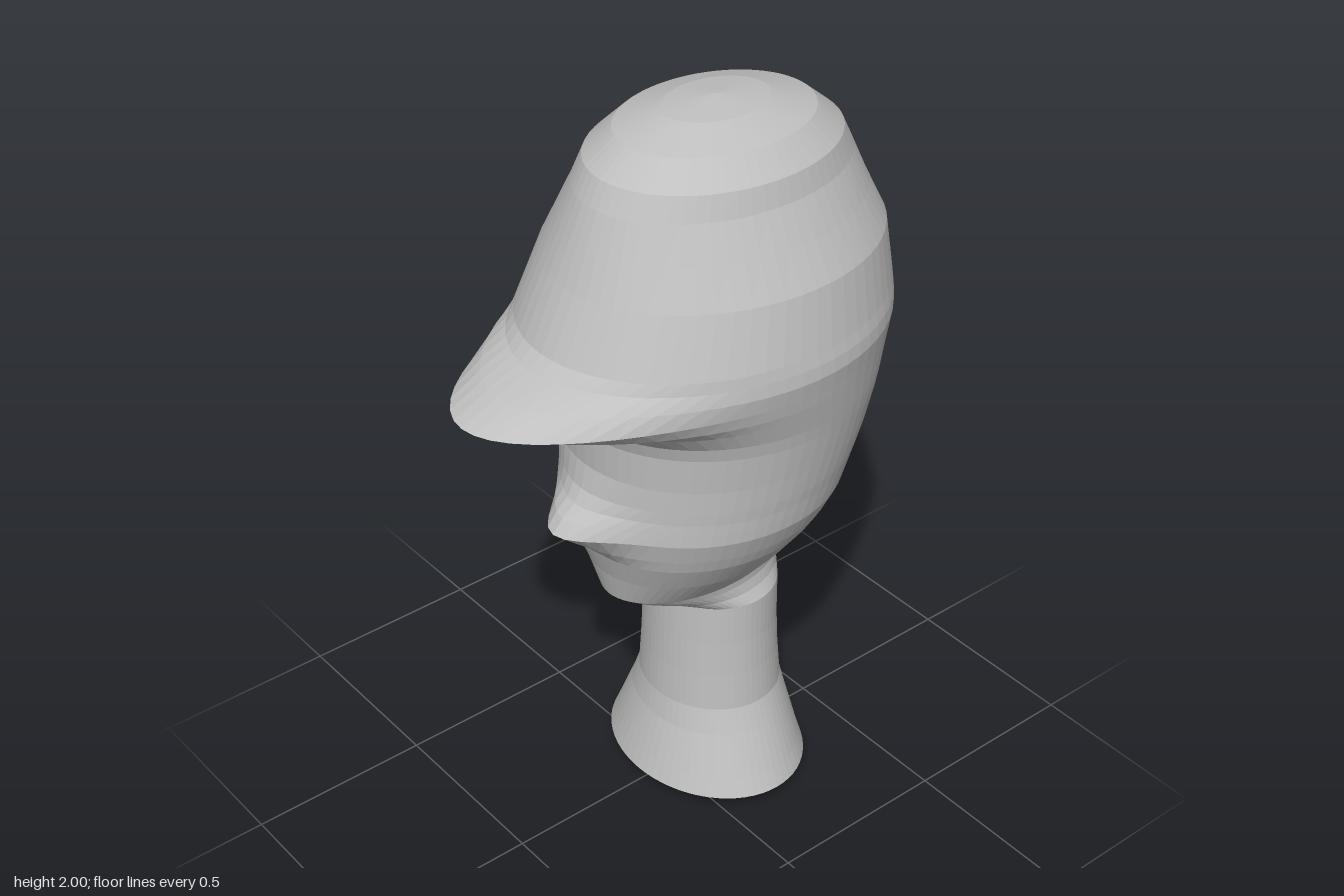
import * as THREE from 'three';

const SIDES = 64;

// Each ring: [y, half width, front z, back z, forward bump, bump sharpness]
const neckRings = [
  [0.005, 0, -0.14, -0.14],
  [0.02, 0.21, 0.06, -0.33],
  [0.05, 0.298, 0.106, -0.38],
  [0.1, 0.277, 0.09, -0.367],
  [0.22, 0.23, 0.053, -0.34],
  [0.29, 0.203, 0.039, -0.326],
  [0.4, 0.195, 0.033, -0.317],
  [0.5, 0.19, 0.03, -0.313],
  [0.62, 0.188, 0.027, -0.313],
];

const faceRings = [
  [0.62, 0.188, 0.027, -0.313],
  [0.65, 0.172, 0.095, -0.325],
  [0.68, 0.168, 0.165, -0.335],
  [0.70, 0.17, 0.196, -0.345],
  [0.785, 0.24, 0.217, -0.376],
  [0.865, 0.295, 0.245, -0.43],
  [0.905, 0.315, 0.255, -0.46, 0.032, 14],
  [0.965, 0.34, 0.268, -0.49, 0.097, 18],
  [1.0, 0.345, 0.265, -0.503, 0.07, 18],
  [1.03, 0.349, 0.262, -0.514, 0.035, 18],
  [1.065, 0.355, 0.261, -0.527, 0.014, 18],
  [1.13, 0.364, 0.26, -0.55],
  [1.23, 0.379, 0.265, -0.575],
  [1.27, 0.386, 0.28, -0.583],
];

const capRings = [
  [1.27, 0.386, 0.28, -0.583],
  [1.32, 0.396, 0.32, -0.592, 0.045, 3],
  [1.35, 0.402, 0.345, -0.598, 0.165, 3],
  [1.385, 0.408, 0.36, -0.604, 0.252, 3],
  [1.43, 0.416, 0.37, -0.61, 0.14, 3],
  [1.465, 0.412, 0.372, -0.611, 0.043, 3],
  [1.495, 0.405, 0.38, -0.61],
  [1.645, 0.37, 0.31, -0.59],
  [1.74, 0.32, 0.27, -0.545],
  [1.83, 0.275, 0.232, -0.507],
  [1.89, 0.258, 0.2, -0.477],
  [1.95, 0.2, 0.124, -0.405],
  [1.985, 0.105, 0.005, -0.285],
  [2.0, 0, -0.14, -0.14],
];

// Skin through a stack of elliptical rings, bottom to top
function loft(rings) {
  const positions = [], index = [];
  for (const [y, width, front, back, bump = 0, power = 1] of rings) {
    for (let i = 0; i < SIDES; i++) {
      const a = (i / SIDES) * Math.PI * 2;
      const c = Math.cos(a);
      const z = (front + back) / 2 + c * (front - back) / 2 + bump * Math.max(0, c) ** power;
      positions.push(width * Math.sin(a), y, z);
    }
  }
  for (let r = 0; r < rings.length - 1; r++) {
    for (let i = 0; i < SIDES; i++) {
      const j = (i + 1) % SIDES;
      const a = r * SIDES + i, b = r * SIDES + j;
      const c = a + SIDES, d = b + SIDES;
      if (rings[r][1] > 0) index.push(a, b, d);
      if (rings[r + 1][1] > 0) index.push(a, d, c);
      else index.push(a, b, c);
    }
  }
  const geometry = new THREE.BufferGeometry();
  geometry.setAttribute('position', new THREE.Float32BufferAttribute(positions, 3));
  geometry.setIndex(index);
  geometry.computeVertexNormals();
  return geometry;
}

export function createModel() {
  const group = new THREE.Group();
  group.name = 'cappedHead';
  const grey = new THREE.MeshStandardMaterial({ color: 0xbfbfbf });
  grey.name = 'plain grey';
  grey.flatShading = true;

  const parts = { neckStand: neckRings, face: faceRings, peakedCap: capRings };
  for (const [name, rings] of Object.entries(parts)) {
    const mesh = new THREE.Mesh(loft(rings), grey);
    mesh.name = name;
    group.add(mesh);
  }
  return group;
}
